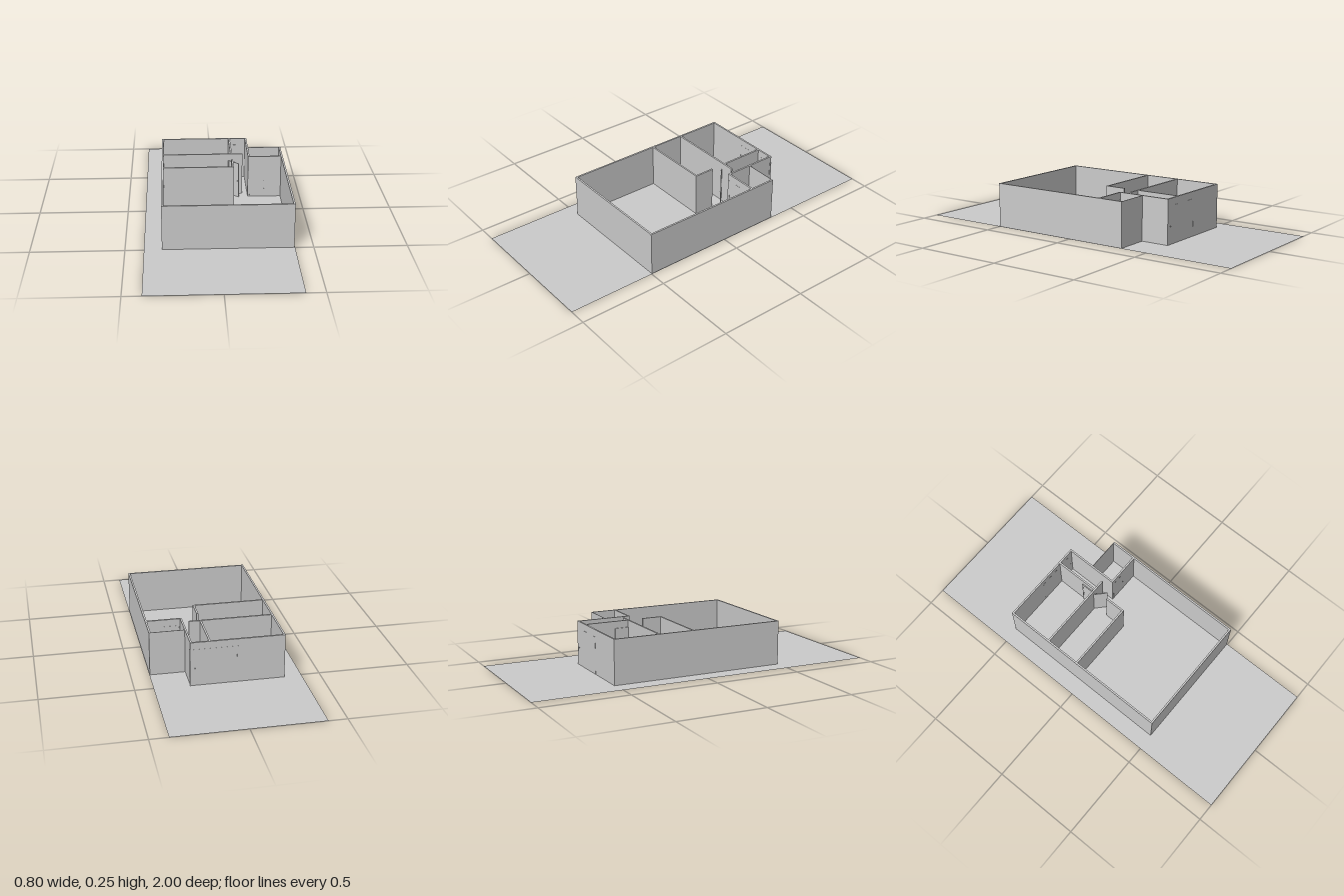
import * as THREE from 'three';

const H = 0.25;   // wall height
const T = 0.01;   // wall thickness
const DOOR_H = 0.21;

export function createModel() {
  const model = new THREE.Group();
  const mat = new THREE.MeshStandardMaterial({ color: 0xcccccc, flatShading: true });

  // Box given by its extents
  function block(parent, name, x0, x1, y0, y1, z0, z1) {
    const mesh = new THREE.Mesh(new THREE.BoxGeometry(x1 - x0, y1 - y0, z1 - z0), mat);
    mesh.position.set((x0 + x1) / 2, (y0 + y1) / 2, (z0 + z1) / 2);
    mesh.name = name;
    parent.add(mesh);
  }

  // Flat plot of land
  const plot = new THREE.Mesh(
    new THREE.PlaneGeometry(0.8, 2),
    new THREE.MeshStandardMaterial({ color: 0xcccccc, side: THREE.DoubleSide })
  );
  plot.rotation.x = -Math.PI / 2;
  plot.name = 'plot';
  model.add(plot);

  // Walls along x: [name, x0, x1, z centre, thickness]
  const alongX = [
    ['frontWall', -0.305, 0.397, 0.492, T],
    ['backWall', -0.305, 0.205, -0.503, T],
    ['bedroomDivider', -0.3, 0.165, -0.243, T],
    ['livingRoomDivider', -0.3, 0.105, -0.04, T],
    ['sideRoomBackWall', 0.2, 0.397, -0.344, 0.003],
    ['sideRoomFrontWall', 0.195, 0.39, -0.197, T],
  ];
  for (const [name, x0, x1, z, t] of alongX) block(model, name, x0, x1, 0, H, z - t / 2, z + t / 2);

  // Walls along z: [name, x centre, z0, z1]
  const alongZ = [
    ['leftOuterWall', -0.3, -0.508, 0.497],
    ['rightOuterWall', 0.392, -0.345, 0.497],
    ['hallWall', 0.1, -0.5, -0.24],
    ['hallOuterWall', 0.2, -0.508, -0.192],
    ['bathroomEndWall', 0.1, -0.155, -0.035],
  ];
  for (const [name, x, z0, z1] of alongZ) block(model, name, x - T / 2, x + T / 2, 0, H, z0, z1);

  // Door with a frame and a knob on each face, hinged at its local origin
  function door(name, width, depth, x, z, angle) {
    const group = new THREE.Group();
    group.name = name;
    const f = 0.005, d = depth / 2;
    block(group, 'hingePost', 0, f, 0, DOOR_H, -d, d);
    block(group, 'latchPost', width - f, width, 0, DOOR_H, -d, d);
    block(group, 'header', f, width - f, DOOR_H - f, DOOR_H, -d, d);
    block(group, 'doorLeaf', f, width - f, 0, DOOR_H - f, -d * 0.7, d * 0.7);
    for (const side of [-1, 1]) {
      const knob = new THREE.Mesh(new THREE.SphereGeometry(0.003, 10, 8), mat);
      knob.position.set(width * 0.9, 0.1, side * (d + 0.001));
      knob.name = 'knob';
      group.add(knob);
    }
    group.position.set(x, 0, z);
    group.rotation.y = angle;
    model.add(group);
  }

  door('entranceDoor', 0.257, 0.0112, -0.05, -0.503, 0);
  door('sideRoomDoor', 0.09, 0.0112, 0.205, -0.197, 0);
  door('bedroomDoor', 0.085, 0.006, 0.093, -0.243, Math.PI / 2);
  door('openBathroomDoor', 0.08, 0.004, 0.083, -0.24, -0.75);

  return model;
}
